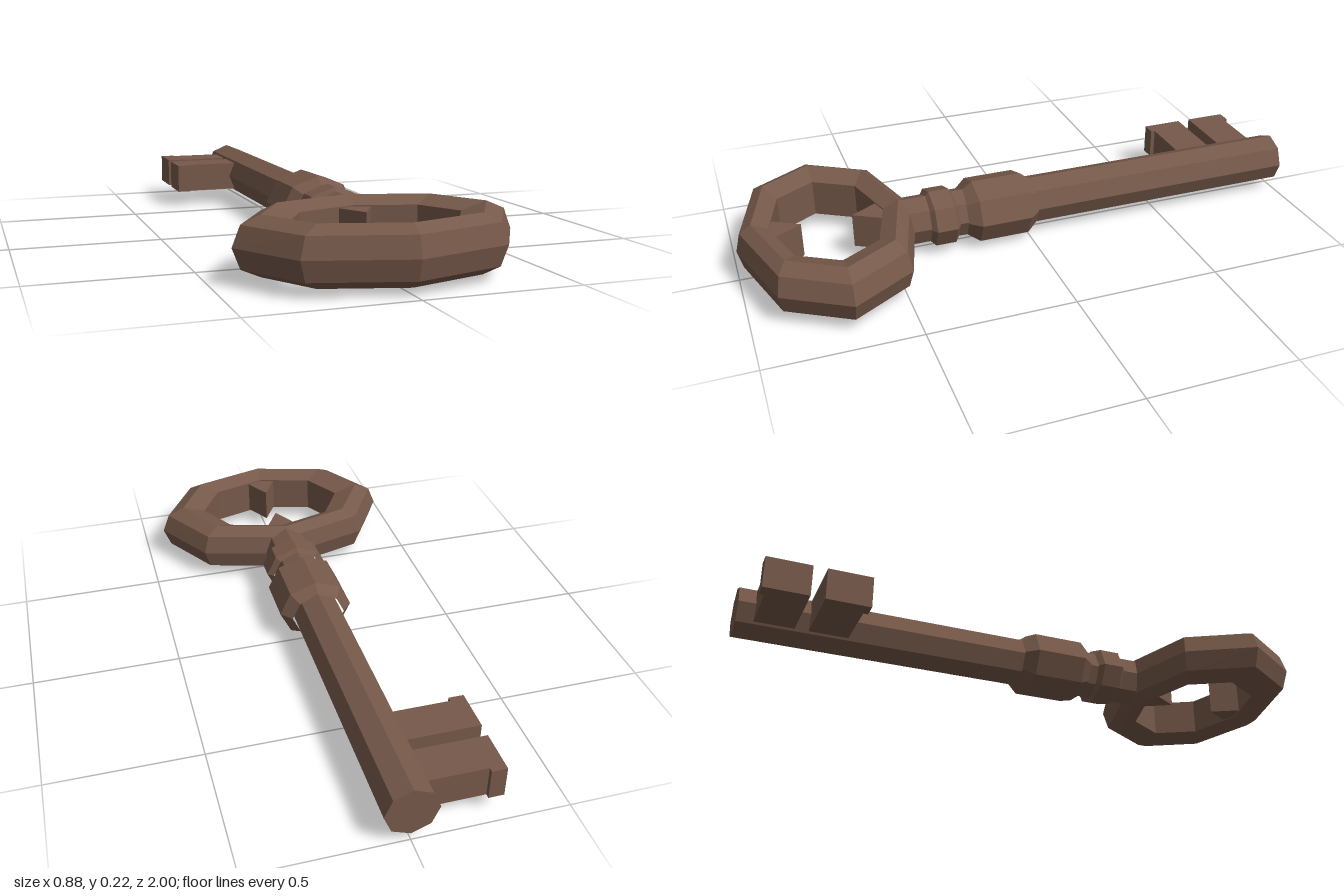
import * as THREE from 'three';

const AXIS_Y = 0.115;

export function createModel() {
  const key = new THREE.Group();
  key.name = 'key';
  const material = new THREE.MeshStandardMaterial({ color: 0x76594a, flatShading: true });

  const add = (name, geometry, x = 0, z = 0) => {
    const mesh = new THREE.Mesh(geometry, material);
    mesh.name = name;
    mesh.position.set(x, AXIS_Y, z);
    key.add(mesh);
    return mesh;
  };

  // Eight-sided turned part lying along z, from [radius, z] pairs
  const turned = (profile) => {
    const points = profile.map(([r, z]) => new THREE.Vector2(r, z));
    return new THREE.LatheGeometry(points, 8).rotateX(Math.PI / 2);
  };

  // Shaft and collars; the collars are slightly wider than tall
  add('shaft', turned([[0, -1], [0.085, -1], [0.085, 0.45], [0, 0.45]]));
  add('largeCollar', turned([[0.08, -0.025], [0.11, 0.015], [0.11, 0.19], [0.08, 0.23]])).scale.x = 1.17;
  add('smallCollar', turned([[0.08, 0.26], [0.098, 0.275], [0.098, 0.345], [0.08, 0.36]])).scale.x = 1.16;

  // Bow: an oval eight-sided ring with a faceted outside and a flat inside
  const bowZ = 0.695;
  add('bow', bowGeometry(), 0, bowZ);

  // Pointed spurs on the inside of the bow
  for (const side of [-1, 1]) {
    const spur = new THREE.Shape([
      new THREE.Vector2(-0.07, side * 0.205),
      new THREE.Vector2(0.07, side * 0.205),
      new THREE.Vector2(0, side * 0.085),
    ]);
    const geometry = new THREE.ExtrudeGeometry(spur, { depth: 0.12, bevelEnabled: false });
    geometry.translate(0, 0, -0.06).rotateX(Math.PI / 2);
    add(side < 0 ? 'backSpur' : 'frontSpur', geometry, 0, bowZ);
  }

  // Two bits, each with a lip at its outer end
  const bitHeight = 0.105;
  for (const [name, z, lip] of [['backBit', -0.88, -1], ['frontBit', -0.705, 1]]) {
    add(name, new THREE.BoxGeometry(0.25, bitHeight, 0.13), -0.175, z);
    add(name + 'Lip', new THREE.BoxGeometry(0.05, bitHeight, 0.015), -0.275, z + lip * 0.0725);
  }
  return key;
}

// Sweeps a section around an oval with eight corners
function bowGeometry() {
  const section = [
    [0.085, 0], [0.06, 0.064], [0, 0.09], [-0.084, 0.064],
    [-0.084, -0.064], [0, -0.09], [0.06, -0.064],
  ];
  const sides = 8, n = section.length;
  const positions = [], index = [];
  for (let i = 0; i < sides; i++) {
    const a = (i / sides) * Math.PI * 2;
    for (const [out, y] of section) {
      positions.push(Math.sin(a) * (0.355 + out), y, Math.cos(a) * (0.245 + out * 0.65));
    }
    const next = ((i + 1) % sides) * n;
    for (let j = 0; j < n; j++) {
      const k = (j + 1) % n;
      index.push(i * n + j, next + j, next + k, i * n + j, next + k, i * n + k);
    }
  }
  const geometry = new THREE.BufferGeometry();
  geometry.setAttribute('position', new THREE.Float32BufferAttribute(positions, 3));
  geometry.setIndex(index);
  geometry.computeVertexNormals();
  return geometry;
}
